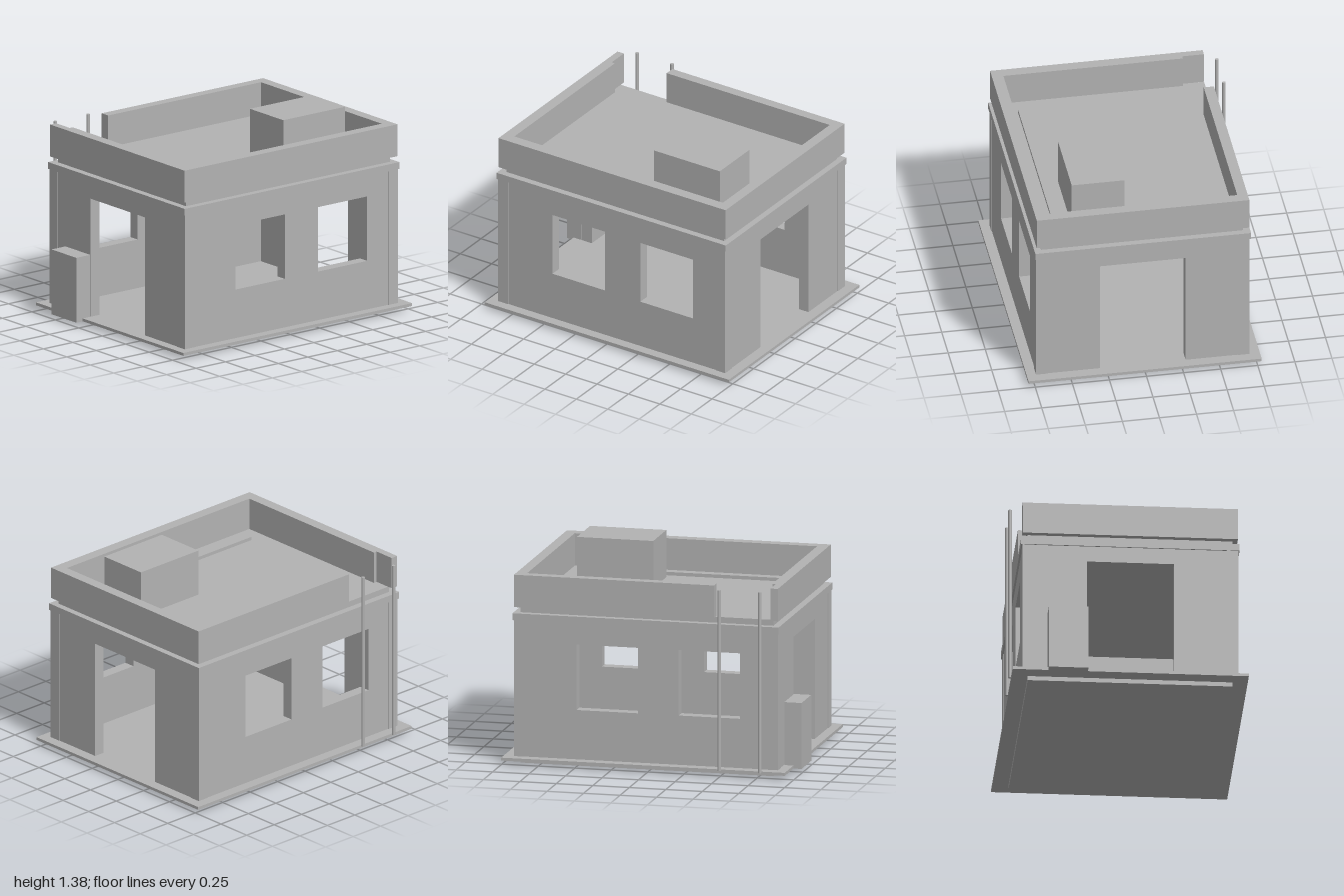
import * as THREE from 'three';

const concrete = new THREE.MeshStandardMaterial({ color: 0xb2b2b2 });
concrete.name = 'concrete grey';

// Box given by its lower and upper corners
function block(parent, name, [x0, x1], [y0, y1], [z0, z1]) {
  const mesh = new THREE.Mesh(new THREE.BoxGeometry(x1 - x0, y1 - y0, z1 - z0), concrete);
  mesh.position.set((x0 + x1) / 2, (y0 + y1) / 2, (z0 + z1) / 2);
  mesh.name = name;
  parent.add(mesh);
  return mesh;
}

function outline(Type, u0, u1, v0, v1) {
  const s = new Type();
  s.moveTo(u0, v0);
  s.lineTo(u1, v0);
  s.lineTo(u1, v1);
  s.lineTo(u0, v1);
  s.closePath();
  return s;
}

function extruded(parent, name, shape, depth) {
  const mesh = new THREE.Mesh(
    new THREE.ExtrudeGeometry(shape, { depth, bevelEnabled: false }), concrete);
  mesh.name = name;
  parent.add(mesh);
  return mesh;
}

export function createModel() {
  const house = new THREE.Group();
  house.name = 'house';

  // Wall limits: outer faces, and inner edges of the corner pillars
  const X = [-0.882, 0.928], Z = [-0.708, 0.732];
  const XI = [-0.8, 0.85], ZI = [-0.627, 0.65];
  const base = 0.05, top = 0.975;
  const inset = 0.004, thick = 0.077;

  // Foundation and plinth
  block(house, 'foundation', [-0.84, 0.893], [0, 0.03], [-0.67, 0.692]);
  block(house, 'plinth', [-0.945, 0.998], [0.03, base], [-0.777, 0.795]);

  // Corner pillars
  for (const x of [[X[0], XI[0]], [XI[1], X[1]]])
    for (const z of [[Z[0], ZI[0]], [ZI[1], Z[1]]])
      block(house, 'cornerPillar', x, [base, top], z);

  // Front and back walls, two windows each
  const windowWall = (name, z, windows) => {
    const s = outline(THREE.Shape, XI[0], XI[1], base, top);
    for (const [a, b] of windows) s.holes.push(outline(THREE.Path, a, b, 0.385, 0.83));
    extruded(house, name, s, thick).position.z = z;
  };
  windowWall('frontWall', Z[1] - inset - thick, [[-0.45, -0.03], [0.25, 0.67]]);
  windowWall('backWall', Z[0] + inset, [[-0.62, -0.2], [0.08, 0.5]]);

  // Side walls, one wide doorway each: two jambs and a lintel
  const door = [-0.277, 0.302], doorTop = 0.865;
  for (const [name, x] of [
    ['leftWall', [X[1] - inset - thick, X[1] - inset]],
    ['rightWall', [X[0] + inset, X[0] + inset + thick]],
  ]) {
    const shape = new THREE.Shape();
    // Shape is drawn along -z so that a quarter turn lays it across the side
    [[-ZI[1], base], [-door[1], base], [-door[1], doorTop], [-door[0], doorTop],
      [-door[0], base], [-ZI[0], base], [-ZI[0], top], [-ZI[1], top]]
      .forEach(([u, v], i) => (i ? shape.lineTo(u, v) : shape.moveTo(u, v)));
    const wall = extruded(house, name, shape, x[1] - x[0]);
    wall.rotation.y = Math.PI / 2;
    wall.position.x = x[0];
  }

  // Cornice and roof slab
  block(house, 'cornice', [-0.888, 0.936], [top, 1.022], [-0.717, 0.738]);
  block(house, 'roofSlab', [-0.84, 0.893], [1.022, 1.062], [-0.67, 0.692]);

  // Parapet, open at the back right corner, with a thinner end piece
  const p = new THREE.Shape();
  [[-0.88, -0.727], [0.928, -0.727], [0.928, 0.706], [-0.443, 0.706], [-0.443, 0.637],
    [0.855, 0.637], [0.855, -0.65], [-0.805, -0.65], [-0.805, 0.56], [-0.83, 0.56],
    [-0.83, 0.706], [-0.88, 0.706]]
    .forEach(([u, v], i) => (i ? p.lineTo(u, v) : p.moveTo(u, v)));
  const parapet = extruded(house, 'parapet', p, 0.22);
  parapet.rotation.x = -Math.PI / 2;
  parapet.position.y = 1.062;

  // Roof box and low kerb
  block(house, 'roofBox', [0.177, 0.7], [1.062, 1.382], [0.097, 0.452]);
  block(house, 'roofKerb', [-0.69, 0.738], [1.062, 1.085], [0.508, 0.573]);

  // Side box beside the doorway
  block(house, 'sideBox', [-1, -0.882], [0.03, 0.478], [-0.54, -0.277]);

  // Ladder rails behind the parapet gap
  for (const x of [-0.775, -0.497]) {
    const rail = new THREE.Mesh(new THREE.CylinderGeometry(0.012, 0.012, 1.228, 12), concrete);
    rail.position.set(x, 0.656, -0.783);
    rail.name = 'ladderRail';
    house.add(rail);
  }

  return house;
}
